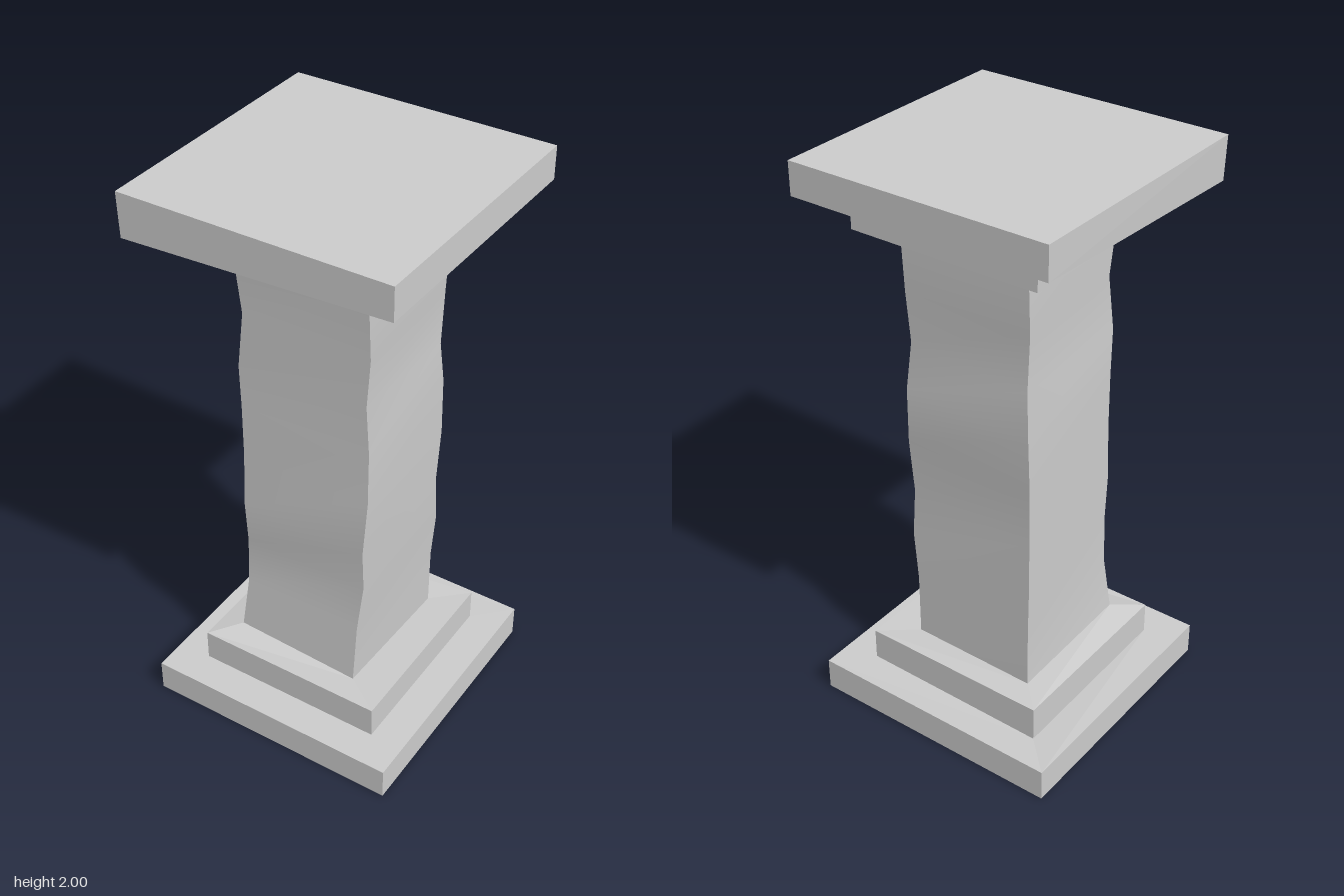
import * as THREE from 'three';

// Corner order everywhere: front right, front left, back left, back right
const SIGNS = [[-1, 1], [1, 1], [1, -1], [-1, -1]];

// Square ring; y is one height or one height per corner
function ring(half, y) {
  return SIGNS.map(([sx, sz], i) => [sx * half, Array.isArray(y) ? y[i] : y, sz * half]);
}

// Joins four-cornered rings from bottom to top, each side a separate panel with crisp corners
function loft(name, rings, { smooth = false, bottom = false, top = false } = {}) {
  const pos = [], index = [];
  const add = (p) => pos.push(...p) / 3 - 1;
  const quad = (a, b, c, d) => index.push(a, b, c, a, c, d);
  for (let i = 0; i < 4; i++) {
    const j = (i + 1) % 4;
    const rows = rings.map((r) => [add(r[i]), add(r[j])]);
    for (let k = 0; k < rows.length - 1; k++) {
      quad(rows[k][0], rows[k][1], rows[k + 1][1], rows[k + 1][0]);
    }
  }
  if (bottom) quad(...[...rings[0]].reverse().map(add));
  if (top) quad(...rings[rings.length - 1].map(add));
  const geo = new THREE.BufferGeometry();
  geo.setAttribute('position', new THREE.Float32BufferAttribute(pos, 3));
  geo.setIndex(index);
  geo.computeVertexNormals();
  const mesh = new THREE.Mesh(geo, new THREE.MeshStandardMaterial({ color: 0xcccccc, flatShading: !smooth }));
  mesh.name = name;
  return mesh;
}

// Worn shaft: outline of each corner edge at these heights
const LEVELS = [0.23, 0.45, 0.63, 0.8, 1.0, 1.2, 1.36, 1.55, 1.75];
const EDGES = [
  { x: [-.25, -.232, -.23, -.228, -.228, -.225, -.222, -.21, -.225],
    z: [.245, .225, .22, .235, .225, .23, .24, .225, .24] },
  { x: [.205, .21, .225, .235, .243, .245, .225, .25, .245],
    z: [.245, .23, .215, .24, .225, .225, .21, .23, .235] },
  { x: [.22, .225, .24, .24, .245, .24, .24, .235, .245],
    z: [-.235, -.23, -.23, -.215, -.23, -.235, -.205, -.23, -.23] },
  { x: [-.25, -.25, -.25, -.25, -.25, -.25, -.235, -.24, -.23],
    z: [-.25, -.25, -.245, -.245, -.245, -.255, -.24, -.235, -.23] },
];
const FOOT_Y = [0.25, 0.225, 0.225, 0.235];
const HEAD_Y = [1.77, 1.755, 1.735, 1.765];

export function createModel() {
  const group = new THREE.Group();
  group.name = 'pillar';

  const shaftRings = LEVELS.map((y, k) => EDGES.map((e, i) => {
    const h = k === 0 ? FOOT_Y[i] : k === LEVELS.length - 1 ? HEAD_Y[i] : y;
    return [e.x[k], h, e.z[k]];
  }));
  const foot = shaftRings[0];
  const head = shaftRings[shaftRings.length - 1];

  // Stepped base, its upper ledge meeting the foot of the shaft
  group.add(loft('basePlinth', [
    ring(0.46, 0), ring(0.46, 0.115), ring(0.34, [0.115, 0.115, 0.115, 0.105]),
  ], { bottom: true }));
  group.add(loft('baseStep', [
    ring(0.34, [0.115, 0.115, 0.115, 0.105]), ring(0.34, 0.23), foot,
  ]));

  group.add(loft('shaft', shaftRings, { smooth: true }));

  // Collar with a sloping underside, one corner chipped inwards
  const collar = ring(0.34, [1.77, 1.8, 1.77, 1.77]);
  collar[1][0] = 0.32;
  group.add(loft('collar', [head, collar, ring(0.34, [1.86, 1.885, 1.89, 1.885])]));

  // Cap slab, sagging at the front right corner
  const capBottom = ring(0.46, [1.85, 1.888, 1.888, 1.888]);
  capBottom[0][0] = -0.455;
  group.add(loft('capSlab', [
    ring(0.34, [1.86, 1.885, 1.888, 1.885]), capBottom, ring(0.46, 2),
  ], { top: true }));

  return group;
}
